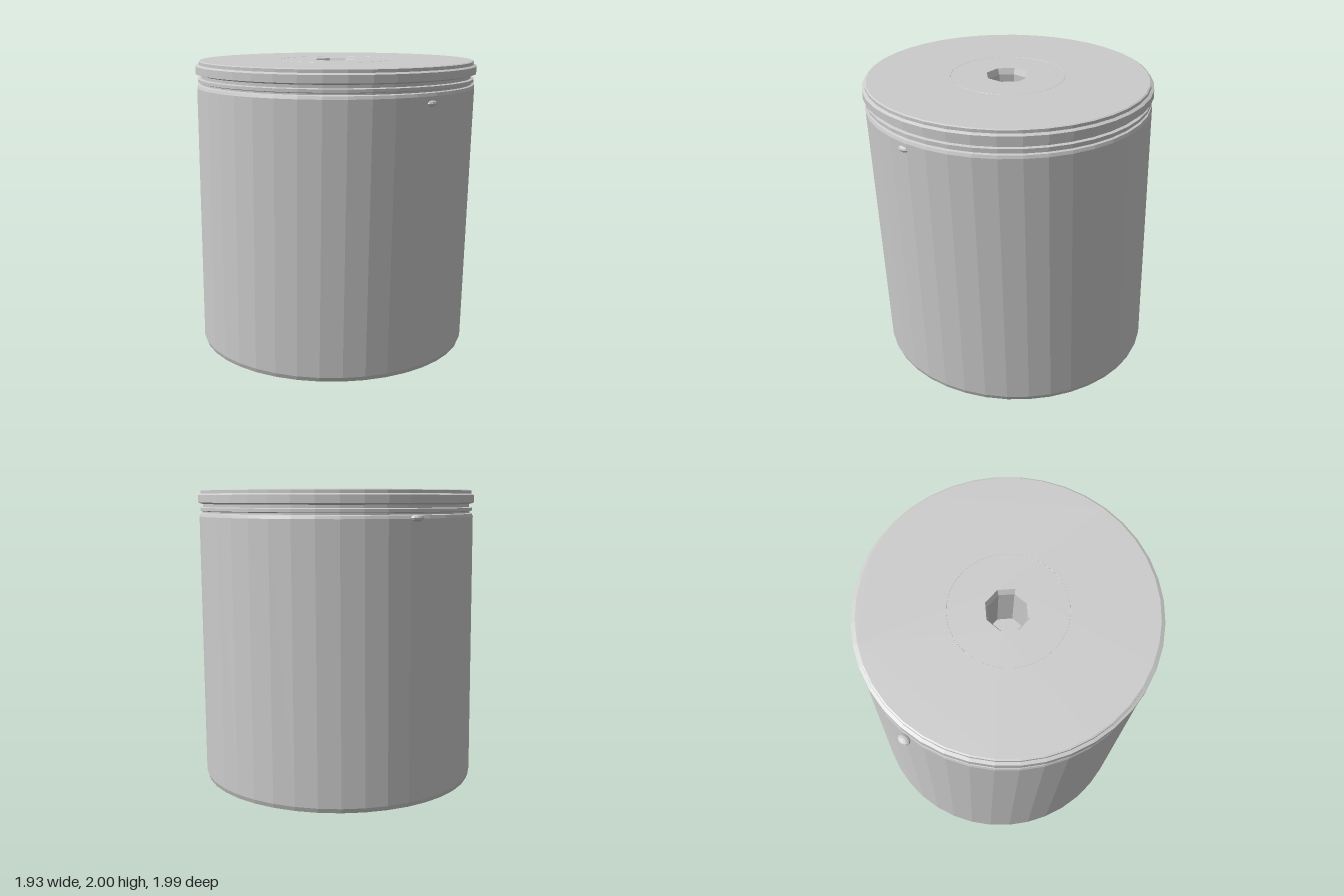
import * as THREE from 'three';

const material = new THREE.MeshStandardMaterial({ color: 0xcccccc, flatShading: true, side: THREE.DoubleSide });

// the whole body leans slightly towards the front
function lean(geometry) {
  const p = geometry.attributes.position;
  for (let i = 0; i < p.count; i++) {
    const y = p.getY(i);
    p.setX(i, p.getX(i) + 0.01 - 0.01 * y);
    p.setZ(i, p.getZ(i) - 0.04 + 0.033 * y);
  }
  geometry.computeVertexNormals();
  return geometry;
}

function add(group, name, geometry) {
  const mesh = new THREE.Mesh(lean(geometry), material);
  mesh.name = name;
  group.add(mesh);
  return mesh;
}

const circle = (r, n, turn = 0) => Array.from({ length: n }, (_, i) => {
  const a = turn + (i / n) * Math.PI * 2;
  return new THREE.Vector2(Math.cos(a) * r, Math.sin(a) * r);
});

// rounded U cross-section of the pin boss, with a round hole
function bossShape(holeRadius) {
  const w = 0.42, low = 0.04, top = 0.56, r = 0.26;
  const s = new THREE.Shape();
  s.moveTo(-w, top);
  s.lineTo(-w, low + r);
  s.quadraticCurveTo(-w, low, -w + r, low);
  s.lineTo(w - r, low);
  s.quadraticCurveTo(w, low, w, low + r);
  s.lineTo(w, top);
  s.closePath();
  const hole = new THREE.Path();
  hole.absarc(-0.02, 0.25, holeRadius, 0, Math.PI * 2, true);
  s.holes.push(hole);
  return s;
}

export function createModel() {
  const group = new THREE.Group();
  group.name = 'piston';

  // skirt, ring grooves and hollow underside in one turned profile
  const profile = [
    [0, 0.52], [0.74, 0.5], [0.86, 0.25], [0.925, 0.02], [0.93, 0],
    [0.94, 0], [0.95, 0.03], [0.957, 1.82], [0.95, 1.84],
    [0.935, 1.845], [0.935, 1.855], [0.95, 1.86], [0.95, 1.88],
    [0.93, 1.885], [0.93, 1.905], [0.965, 1.915], [0.965, 1.965],
    [0.945, 1.975], [0.945, 1.995], [0.935, 2],
  ].map(([x, y]) => new THREE.Vector2(x, y));
  add(group, 'skirt', new THREE.LatheGeometry(profile, 40));

  // flat crown with an octagonal socket
  const crown = new THREE.Shape(circle(0.935, 40));
  crown.holes.push(new THREE.Path(circle(0.148, 8, Math.PI / 8)));
  add(group, 'crown', new THREE.ShapeGeometry(crown).rotateX(-Math.PI / 2).translate(0, 2, 0));

  const socket = [[0.148, 2], [0.13, 1.96], [0.13, 1.6], [0, 1.6]].map(([x, y]) => new THREE.Vector2(x, y));
  add(group, 'socket', new THREE.LatheGeometry(socket, 8, Math.PI / 8));

  // faint ring on the crown
  add(group, 'crownRing', new THREE.TorusGeometry(0.38, 0.004, 4, 40).rotateX(Math.PI / 2).translate(0, 1.997, 0));

  // pin boss: a core with a wider bore at each end
  for (const [name, z, depth, r] of [
    ['pinBoss', -0.36, 0.74, 0.175], ['bossBackEnd', -0.4, 0.04, 0.215], ['bossFrontEnd', 0.38, 0.04, 0.215],
  ]) {
    const g = new THREE.ExtrudeGeometry(bossShape(r), { depth, bevelEnabled: false, curveSegments: 10 });
    add(group, name, g.translate(0, 0, z));
  }

  // small studs below the grooves, front and back
  for (const [name, y, z] of [['frontStud', 1.755, 0.942], ['backStud', 1.805, -0.985]]) {
    add(group, name, new THREE.SphereGeometry(1, 10, 6).scale(0.045, 0.022, 0.032).translate(-0.03, y + 0.02, z));
  }
  return group;
}
